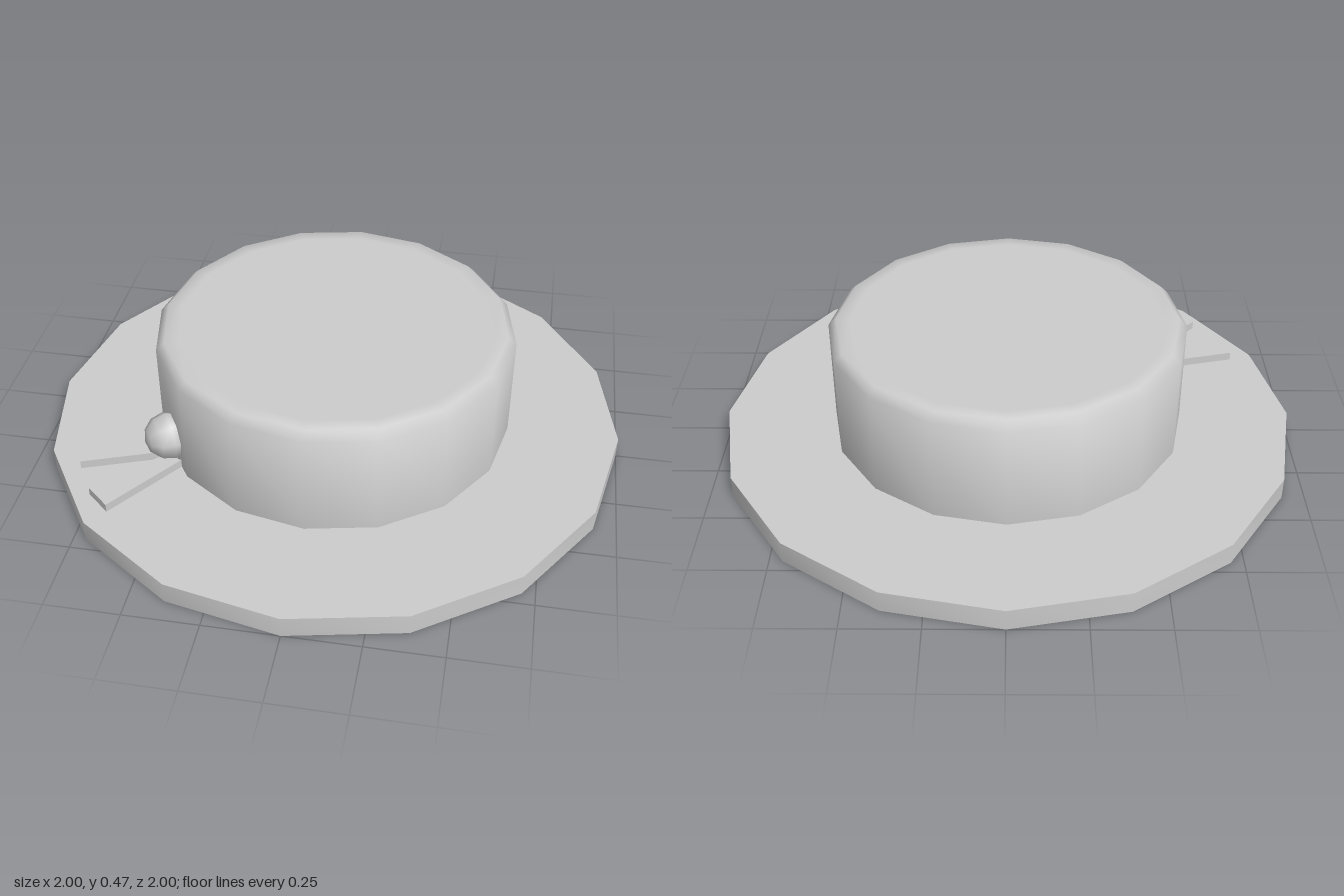
import * as THREE from 'three';
import { toCreasedNormals } from 'three/addons/utils/BufferGeometryUtils.js';

const SIDES = 16;
const BRIM_TOP = 0.075;

export function createModel() {
  const group = new THREE.Group();
  const felt = new THREE.MeshStandardMaterial({ color: 0xcccccc });
  felt.name = 'greyFelt';

  const add = (name, geometry) => {
    const mesh = new THREE.Mesh(geometry, felt);
    mesh.name = name;
    group.add(mesh);
    return mesh;
  };

  // Sixteen-sided turned shape, smooth around and sharp at the right-angled edges
  const turned = (profile) => toCreasedNormals(
    new THREE.LatheGeometry(profile.map(([r, y]) => new THREE.Vector2(r, y)), SIDES), 0.9);

  // Flat brim with the head opening
  add('brim', turned([[0.55, 0], [1, 0], [1, BRIM_TOP], [0.6, BRIM_TOP]]));

  // Hollow crown: outer wall, bevelled rim, top, then the lining back down
  add('crown', turned([
    [0.615, BRIM_TOP], [0.615, 0.44], [0.587, 0.467], [0.54, 0.467], [0, 0.467],
    [0, 0.39], [0.55, 0.39], [0.55, 0],
  ]));

  // Ribbon tails lying on the brim, widening outwards; corners are [x, z]
  const tails = {
    ribbonTailBack: [[-0.5, 0.268], [-0.845, 0.35], [-0.8, 0.455], [-0.5, 0.346]],
    ribbonTailFront: [[-0.53, 0.375], [-0.73, 0.575], [-0.65, 0.645], [-0.465, 0.39]],
  };
  for (const [name, corners] of Object.entries(tails)) {
    const shape = new THREE.Shape(corners.map(([x, z]) => new THREE.Vector2(x, -z)));
    const tail = new THREE.ExtrudeGeometry(shape, { depth: 0.03, bevelEnabled: false });
    add(name, tail.rotateX(-Math.PI / 2).translate(0, BRIM_TOP, 0));
  }

  // Round knot half sunk into the crown wall, its pole pointing outwards
  const knot = add('ribbonKnot', new THREE.SphereGeometry(0.084, 8, 6));
  knot.position.set(-0.515, 0.17, 0.345);
  knot.quaternion.setFromUnitVectors(
    new THREE.Vector3(0, 1, 0), new THREE.Vector3(-0.83, 0, 0.56).normalize());

  return group;
}
